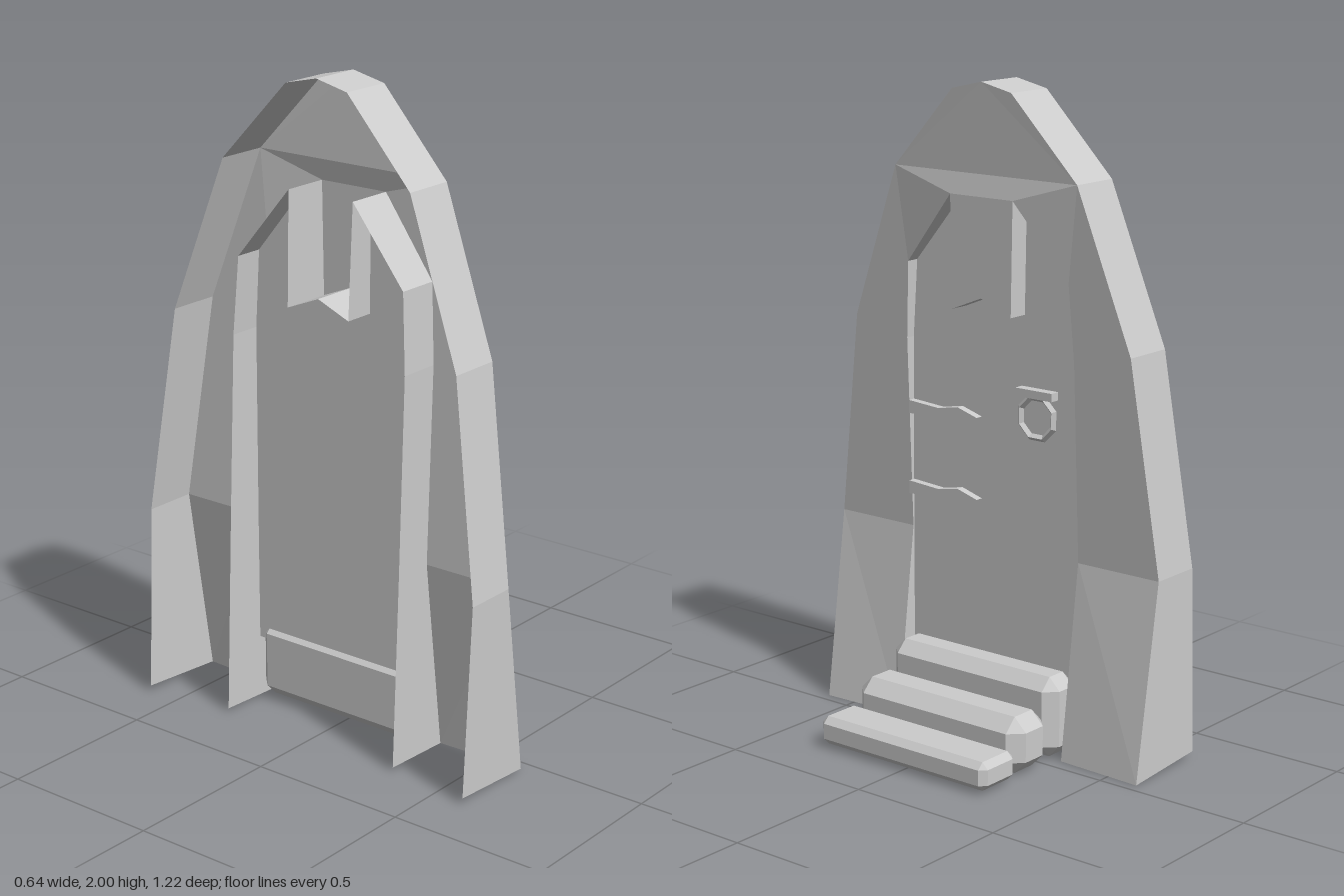
import * as THREE from 'three';
import { ConvexGeometry } from 'three/addons/geometries/ConvexGeometry.js';

const material = new THREE.MeshStandardMaterial({ color: 0xcccccc, flatShading: true, side: THREE.DoubleSide });

// Built facing local +z (u across, y up, z = depth), then turned to face +x.
const DOOR_Z = -0.127, FOLD_Y = 0.6, POST_Z = -0.06;
const lerp = THREE.MathUtils.mapLinear;
const mirror = (half) => [...half, ...half.filter(([u]) => u !== 0).reverse().map(([u, y]) => [-u, y])];

// Front face leans back down to the fold, then flares out; the middle post stays upright
const frontZ = (u, y) => {
  if (Math.abs(u) < 0.118 && y > 1.2) return POST_Z;
  if (y >= FOLD_Y) return lerp(y, FOLD_Y, 2, -0.123, POST_Z);
  return lerp(y, 0, FOLD_Y, Math.abs(u) > 0.5 ? -0.035 : -0.048, -0.123);
};

// Half outlines as [u, y]
const archHalf = [[-0.605, 0], [-0.61, FOLD_Y], [-0.52, 1.25], [-0.34, 1.73], [-0.11, 1.975], [0, 2]];
const openingHalf = [[-0.32, 0], [-0.32, FOLD_Y], [-0.318, 1.2], [-0.303, 1.44], [-0.117, 1.665], [-0.112, 1.32], [0, 1.365]];
const arch = mirror(archHalf);
const opening = mirror(openingHalf);

const toShape = (pts) => new THREE.Shape(pts.map(([u, y]) => new THREE.Vector2(u, y)));

function face(pts, depth) {
  const g = new THREE.ShapeGeometry(toShape(pts));
  const p = g.attributes.position;
  for (let i = 0; i < p.count; i++) p.setZ(i, depth(p.getX(i), p.getY(i)));
  g.computeVertexNormals();
  return g;
}

// Open wall between two rails of 3D points
function strip(a, b) {
  const v = [];
  for (let i = 0; i < a.length - 1; i++) {
    v.push(...a[i], ...b[i], ...b[i + 1], ...a[i], ...b[i + 1], ...a[i + 1]);
  }
  const g = new THREE.BufferGeometry();
  g.setAttribute('position', new THREE.Float32BufferAttribute(v, 3));
  g.computeVertexNormals();
  return g;
}

// Box chamfered on every edge
function chamferedBox(w, h, d, c) {
  const pts = [];
  for (const sx of [-1, 1]) for (const sy of [-1, 1]) for (const sz of [-1, 1]) {
    for (let k = 0; k < 3; k++) {
      const s = [w, h, d].map((n, i) => n / 2 - (i === k ? 0 : c));
      pts.push(new THREE.Vector3(sx * s[0], sy * s[1], sz * s[2]));
    }
  }
  return new ConvexGeometry(pts);
}

export function createModel() {
  const model = new THREE.Group();
  const body = new THREE.Group();
  body.name = 'doorway';
  body.rotation.y = Math.PI / 2;
  model.add(body);
  const add = (name, geometry, x = 0, y = 0, z = 0) => {
    const m = new THREE.Mesh(geometry, material);
    m.name = name;
    m.position.set(x, y, z);
    body.add(m);
    return m;
  };

  // Arched front of the frame, with the hanging post in the middle
  const above = (pts) => pts.filter(([, y]) => y >= FOLD_Y);
  add('frameFront', face([...above(arch), ...above(opening).reverse()], frontZ));

  // Flared feet of the frame
  for (const s of [-1, 1]) {
    const foot = [archHalf[0], archHalf[1], openingHalf[1], openingHalf[0]].map(([u, y]) => [s * u, y]);
    add(s < 0 ? 'frameFootRight' : 'frameFootLeft', face(foot, frontZ));
  }

  // Outer wall, running back from the arch
  add('outerWall', strip(
    arch.map(([u, y]) => [u, y, frontZ(u, y)]),
    arch.map(([u, y]) => [u, Math.max(y, 0.02), lerp(y, 0, 2, -0.323, -0.225)])));

  // Inner reveal, running back from the opening
  add('doorReveal', strip(
    opening.map(([u, y]) => [u, Math.max(y, 0.01), lerp(y, 0, 1.66, -0.28, -0.21)]),
    opening.map(([u, y]) => [u, y, frontZ(u, y)])));

  // Door panel set inside the reveal
  add('door', face(opening.map(([u, y]) => [u, Math.max(y, 0.2)]), () => DOOR_Z));

  // Strap hinges
  const strap = toShape([[-0.318, -0.025], [-0.2, -0.019], [-0.125, -0.025], [-0.05, 0],
    [-0.125, 0.022], [-0.2, 0.008], [-0.318, 0.016]]);
  for (const y of [0.733, 0.988]) {
    add('hinge', new THREE.ExtrudeGeometry(strap, { depth: 0.025, bevelEnabled: false }), 0, y, DOOR_Z);
  }

  // Knocker ring and its bar
  const ring = new THREE.TorusGeometry(0.065, 0.011, 4, 8);
  ring.rotateZ(Math.PI / 8);
  add('knockerRing', ring, 0.17, 1.02, DOOR_Z + 0.012);
  add('knockerBar', new THREE.BoxGeometry(0.135, 0.025, 0.032), 0.17, 1.093, DOOR_Z + 0.016);

  // Steps: [back, front, bottom, top, chamfer]
  const steps = [[-0.14, 0, 0.01, 0.26, 0.038], [0, 0.165, 0.005, 0.18, 0.042], [0.165, 0.32, 0.01, 0.098, 0.02]];
  for (const [z0, z1, y0, y1, c] of steps) {
    add('step', chamferedBox(0.64, y1 - y0, z1 - z0, c), 0, (y0 + y1) / 2, (z0 + z1) / 2);
  }
  return model;
}
